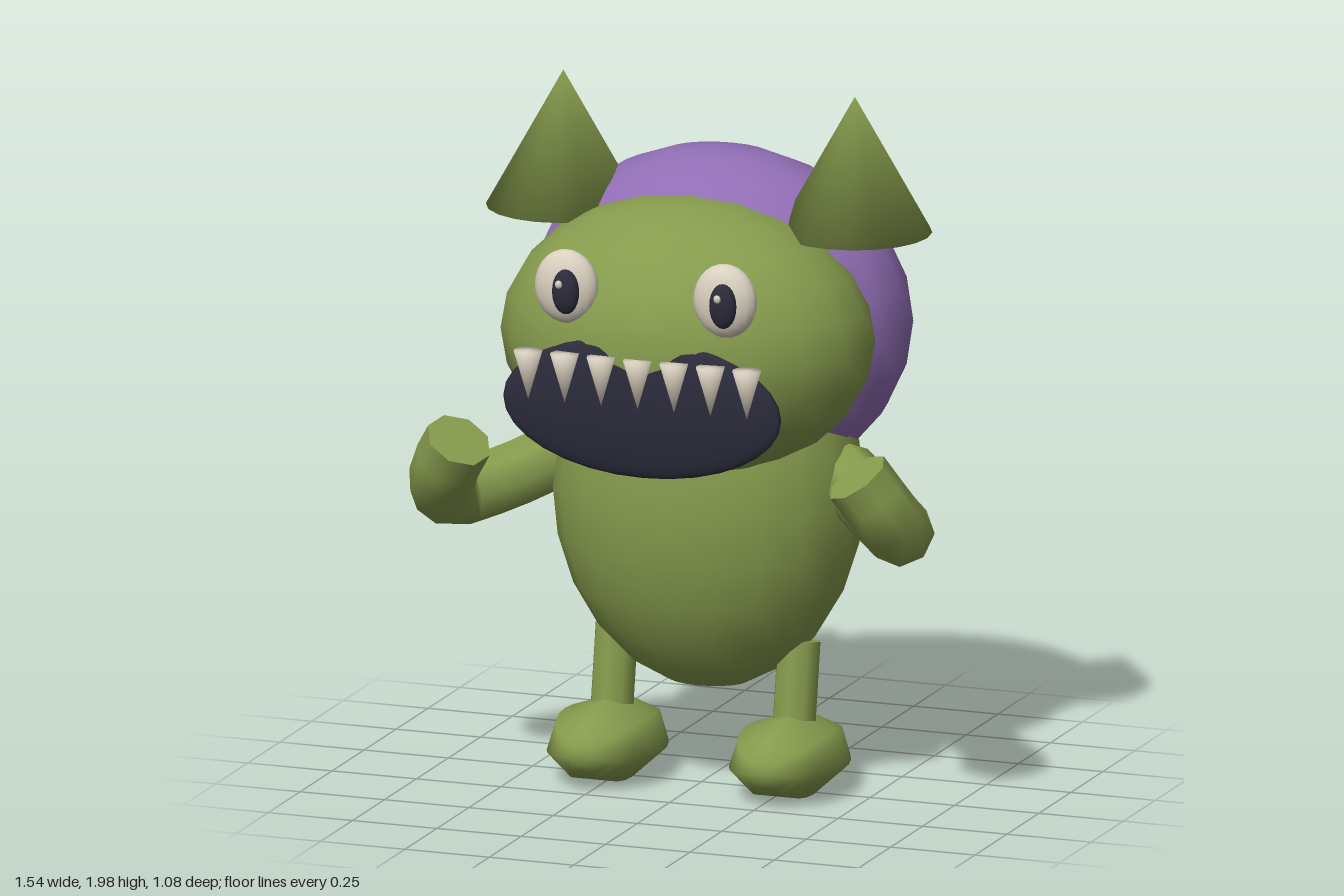
import * as THREE from 'three';

const mat = (name, color) => {
  const m = new THREE.MeshStandardMaterial({ color });
  m.name = name;
  return m;
};

export function createModel() {
  const root = new THREE.Group();
  root.name = 'hornedMonster';
  const green = mat('mossGreen', 0x869b4d);
  const purple = mat('purple', 0x916eb5);
  const dark = mat('darkNavy', 0x2b2b3b);
  const cream = mat('cream', 0xd9d0bf);

  const add = (name, geo, material, pos = [0, 0, 0]) => {
    const m = new THREE.Mesh(geo, material);
    m.name = name;
    m.position.set(...pos);
    root.add(m);
    return m;
  };
  const ellipsoid = (name, material, pos, r, w = 20, h = 12) => {
    const g = new THREE.SphereGeometry(1, w, h);
    g.scale(...r);
    return add(name, g, material, pos);
  };
  // Cone with normals blended over the base rim, for a soft look
  const softCone = (r, h, n) => {
    const g = new THREE.ConeGeometry(r, h, n);
    const p = g.attributes.position, q = g.attributes.normal;
    for (let i = 0; i < p.count; i++) {
      const x = p.getX(i), z = p.getZ(i), d = Math.hypot(x, z);
      if (p.getY(i) > 0) q.setXYZ(i, 0, 1, 0);
      else if (d < 1e-4) q.setXYZ(i, 0, -1, 0);
      else q.setXYZ(i, (0.866 * x) / d, -0.5, (0.866 * z) / d);
    }
    return g;
  };

  // Body, face and the purple back of the head
  ellipsoid('body', green, [0, 0.845, -0.055], [0.445, 0.565, 0.337]);
  ellipsoid('head', green, [0, 1.322, 0.1], [0.537, 0.392, 0.4]);
  ellipsoid('hairCap', purple, [0, 1.32, -0.14], [0.555, 0.482, 0.402]);

  // Mouth and its row of teeth
  ellipsoid('mouth', dark, [0, 1.195, 0.463], [0.412, 0.2, 0.037], 32, 16);
  for (let i = -3; i <= 3; i++) {
    const tooth = add('tooth', softCone(0.041, 0.14, 12), cream, [i * 0.108, 1.27, 0.5]);
    tooth.rotation.x = Math.PI;
  }

  for (const s of [1, -1]) {
    const side = s > 0 ? 'left' : 'right';

    // Eyes look slightly to one side
    ellipsoid(side + 'Eye', cream, [s * 0.235, 1.516, 0.434], [0.093, 0.105, 0.05], 20, 14);
    ellipsoid(side + 'Pupil', dark, [s * 0.233 + 0.013, 1.512, 0.482], [0.04, 0.064, 0.023], 16, 12);
    ellipsoid(side + 'EyeGlint', cream, [s * 0.235 + 0.003, 1.537, 0.506], [0.011, 0.012, 0.008], 8, 6);

    add(side + 'Horn', softCone(0.215, 0.385, 20), green, [s * 0.432, 1.807, -0.06]);

    // Arm: bent tube with closed ends
    const path = new THREE.CatmullRomCurve3([
      [0.4, 0.925, -0.05], [0.56, 0.85, 0.07], [0.67, 0.825, 0.19],
      [0.66, 0.9, 0.29], [0.59, 1.02, 0.34],
    ].map(([x, y, z]) => new THREE.Vector3(s * x, y, z)));
    add(side + 'Arm', new THREE.TubeGeometry(path, 8, 0.095, 8), green);
    const frames = path.computeFrenetFrames(8);
    for (const [t, dir, label] of [[0, -1, 'Shoulder'], [1, 1, 'Hand']]) {
      const k = t * 8;
      const cap = add(side + label, new THREE.CircleGeometry(0.095, 8), green, path.getPointAt(t).toArray());
      const z = frames.tangents[k].clone().multiplyScalar(dir);
      const x = frames.normals[k];
      const y = new THREE.Vector3().crossVectors(z, x);
      cap.quaternion.setFromRotationMatrix(new THREE.Matrix4().makeBasis(x, y, z));
    }

    // Leg leans back towards the hip
    const leg = add(side + 'Leg', new THREE.CylinderGeometry(0.063, 0.063, 0.3, 8), green, [s * 0.27, 0.285, -0.027]);
    leg.rotation.x = -0.17;

    // Foot: seven-sided egg lying along z
    const foot = new THREE.SphereGeometry(1, 7, 14);
    foot.rotateX(Math.PI / 2);
    foot.rotateZ(Math.PI / 2 + Math.PI / 7 + Math.PI / 7 * 3 * 2 - Math.PI / 2 - Math.PI / 14);
    foot.scale(0.163, 0.118, 0.23);
    add(side + 'Foot', foot, green, [s * 0.27, 0.122, 0.02]);
  }
  return root;
}
